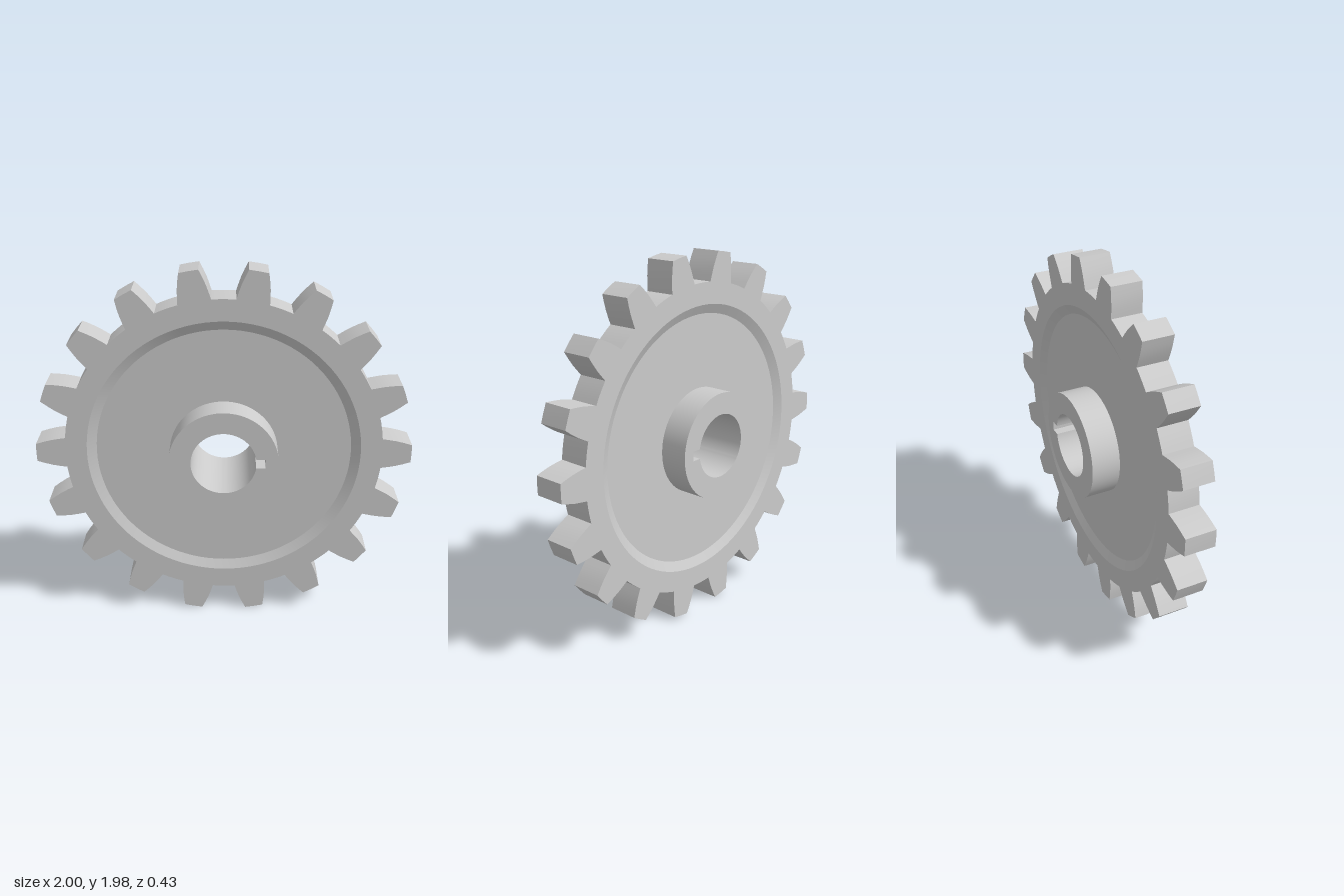
import * as THREE from 'three';
import { toCreasedNormals } from 'three/addons/utils/BufferGeometryUtils.js';

const TEETH = 18;
const ROOT_R = 0.845;
const HALF_FACE = 0.083;   // half thickness of the toothed rim
const HALF_WEB = 0.058;    // half thickness of the recessed web
const HALF_HUB = 0.213;
const RECESS_R = 0.73;
const HUB_R = 0.288;
const BORE_R = 0.172;
const KEY_HALF = 0.026;
const KEY_X = 0.22;

// Half of a tooth flank: [radius, half width], from root to tip
const FLANK = [[0.845, 0.085], [0.88, 0.08], [0.92, 0.073], [0.96, 0.0625], [1.0, 0.05]];

function gearOutline() {
  const pts = [];
  const polar = (r, a) => pts.push(new THREE.Vector2(r * Math.cos(a), r * Math.sin(a)));
  const pitch = (Math.PI * 2) / TEETH;
  const rootHalf = Math.asin(FLANK[0][1] / ROOT_R);
  for (let i = 0; i < TEETH; i++) {
    const a = i * pitch;
    // rising flank, tip, falling flank
    FLANK.forEach(([r, w]) => polar(r, a - Math.asin(w / r)));
    polar(1, a);
    [...FLANK].reverse().forEach(([r, w]) => polar(r, a + Math.asin(w / r)));
    // root arc up to the next tooth
    for (let k = 1; k < 4; k++) {
      polar(ROOT_R, a + rootHalf + (pitch - 2 * rootHalf) * (k / 4));
    }
  }
  return new THREE.Shape(pts);
}

// Extrudes a shape centred on z = 0
function slab(shape, half) {
  const geo = new THREE.ExtrudeGeometry(shape, { depth: half * 2, bevelEnabled: false, curveSegments: 48 });
  geo.translate(0, 0, -half);
  return toCreasedNormals(geo, 0.35);
}

export function createModel() {
  const model = new THREE.Group();
  model.name = 'spurGear';
  const material = new THREE.MeshStandardMaterial({ color: 0xcccccc });
  const gear = new THREE.Group();
  gear.name = 'gear';
  gear.position.y = 0.99;
  model.add(gear);

  const add = (name, geometry) => {
    const mesh = new THREE.Mesh(geometry, material);
    mesh.name = name;
    gear.add(mesh);
  };

  // Toothed rim, open in the middle for the web
  const rim = gearOutline();
  rim.holes.push(new THREE.Path().absarc(0, 0, RECESS_R, 0, Math.PI * 2, true));
  add('toothedRim', slab(rim, HALF_FACE));

  // Recessed web with a sloped shoulder on both sides
  const profile = [
    [HUB_R - 0.01, -HALF_WEB], [0.68, -HALF_WEB], [RECESS_R, -HALF_FACE],
    [RECESS_R, HALF_FACE], [0.68, HALF_WEB], [HUB_R - 0.01, HALF_WEB],
  ].map(([r, y]) => new THREE.Vector2(r, y));
  const web = new THREE.LatheGeometry(profile, 96);
  web.rotateX(Math.PI / 2);
  add('web', toCreasedNormals(web, 0.35));

  // Hub with a bore and a keyway towards +x
  const hub = new THREE.Shape().absarc(0, 0, HUB_R, 0, Math.PI * 2, false);
  const keyAngle = Math.asin(KEY_HALF / BORE_R);
  const bore = new THREE.Path();
  bore.absarc(0, 0, BORE_R, keyAngle, Math.PI * 2 - keyAngle, false);
  bore.lineTo(KEY_X, -KEY_HALF);
  bore.lineTo(KEY_X, KEY_HALF);
  bore.closePath();
  hub.holes.push(bore);
  add('hub', slab(hub, HALF_HUB));

  return model;
}
